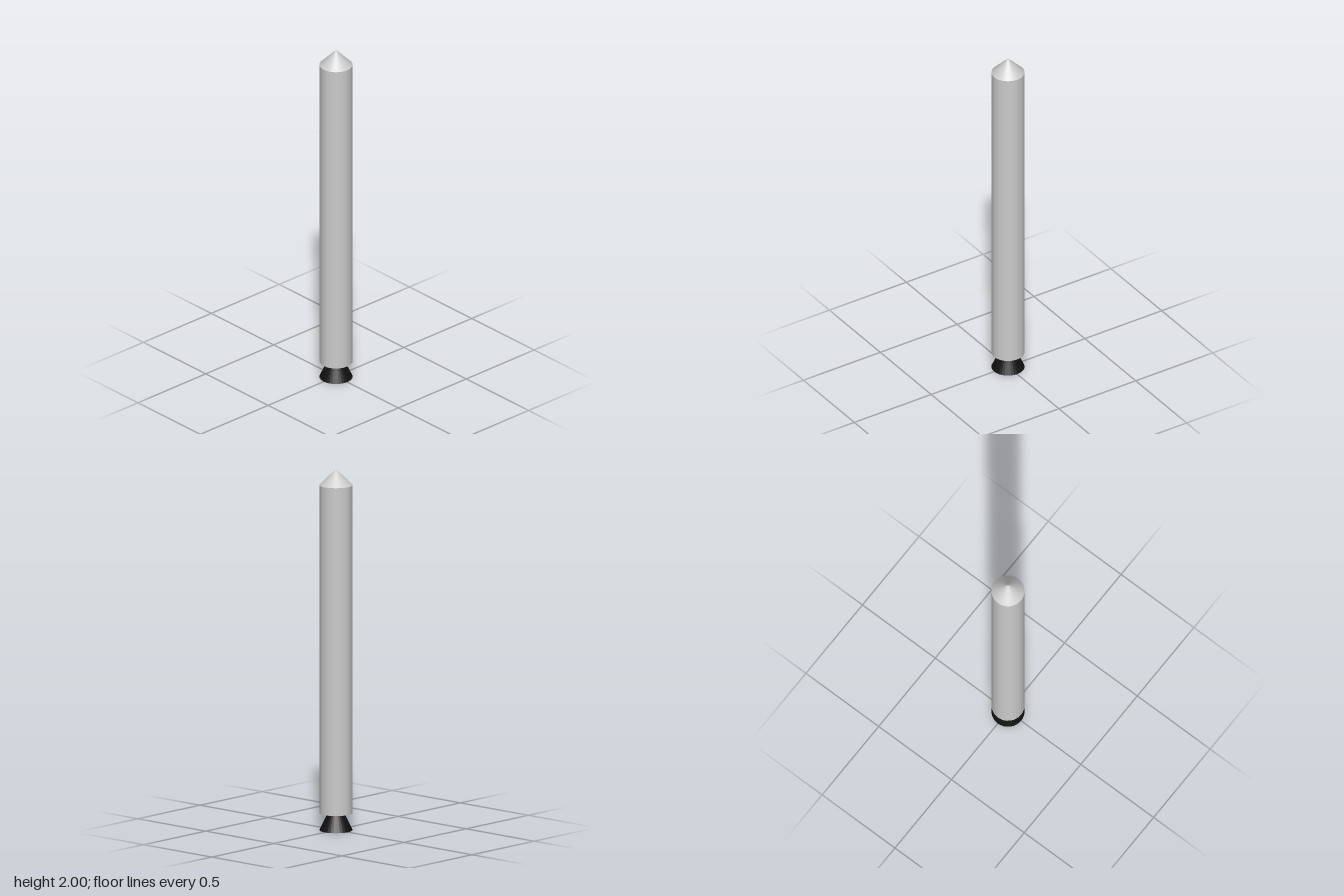
import * as THREE from 'three';

const SIDES = 32;
const RADIUS = 0.09;

export function createModel() {
  const model = new THREE.Group();
  model.name = 'rocket';
  const grey = new THREE.MeshStandardMaterial({ color: 0xcccccc, flatShading: true });
  const black = new THREE.MeshStandardMaterial({ color: 0x111111, flatShading: true });

  // Adds a round section standing between two heights
  function addSection(name, topRadius, bottomRadius, y0, y1, material) {
    const geometry = new THREE.CylinderGeometry(topRadius, bottomRadius, y1 - y0, SIDES);
    const mesh = new THREE.Mesh(geometry, material);
    mesh.name = name;
    mesh.position.y = (y0 + y1) / 2;
    model.add(mesh);
  }

  // Flared engine bell, long tube and pointed tip
  addSection('engineNozzle', 0.045, RADIUS, 0, 0.095, black);
  addSection('body', RADIUS, RADIUS, 0.095, 1.91, grey);
  addSection('noseCone', 0, RADIUS, 1.91, 2, grey);

  return model;
}
